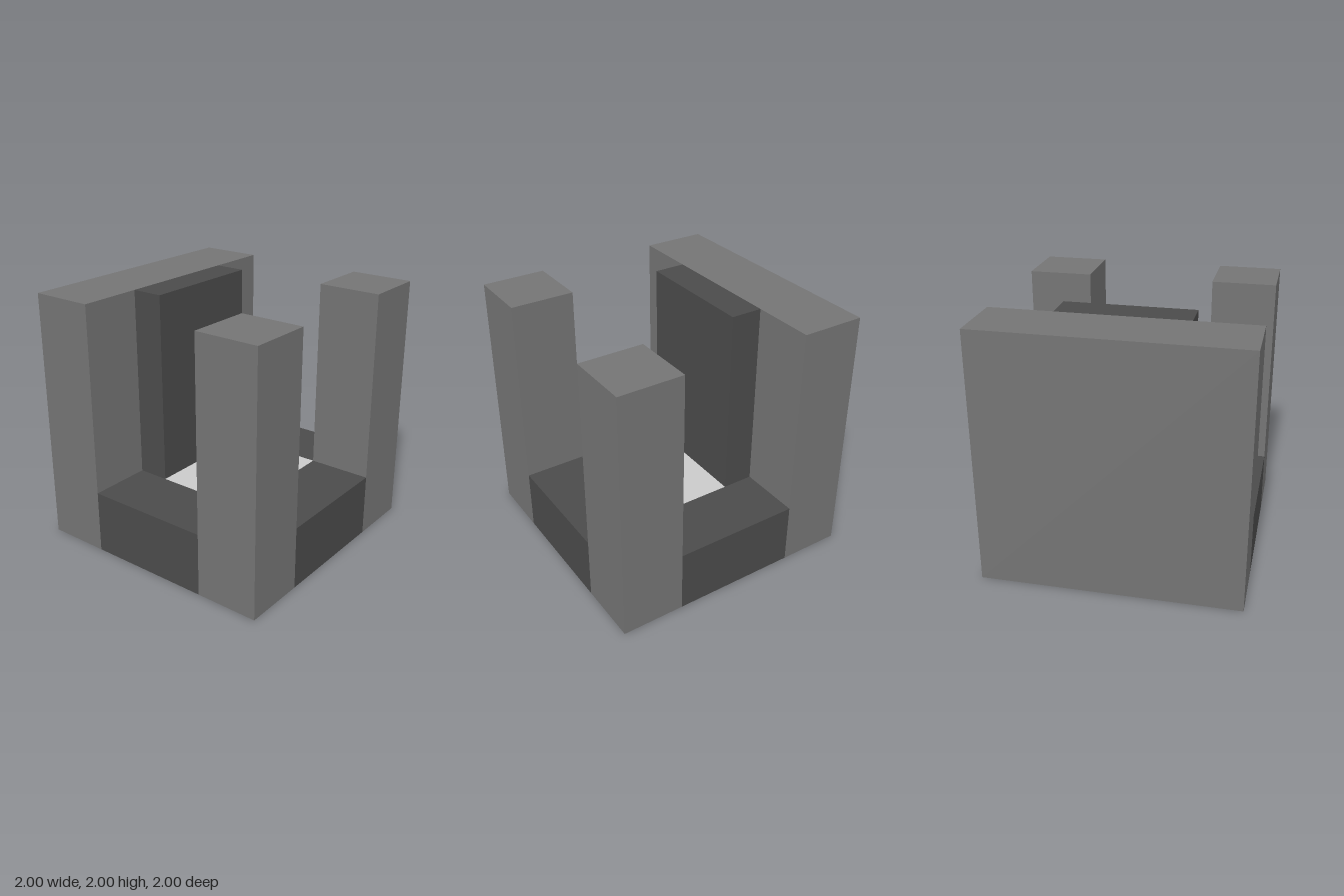
import * as THREE from 'three';

export function createModel() {
  const model = new THREE.Group();
  model.name = 'blockChair';

  const material = (name, color) => {
    const m = new THREE.MeshStandardMaterial({ color });
    m.name = name;
    return m;
  };
  const grey = material('mid grey', 0x747474);
  const dark = material('dark grey', 0x4b4b4b);
  const light = material('light grey', 0xcacaca);

  // Box given by its minimum and maximum corners
  const block = (name, mat, [x0, y0, z0], [x1, y1, z1]) => {
    const mesh = new THREE.Mesh(new THREE.BoxGeometry(x1 - x0, y1 - y0, z1 - z0), mat);
    mesh.position.set((x0 + x1) / 2, (y0 + y1) / 2, (z0 + z1) / 2);
    mesh.name = name;
    model.add(mesh);
  };

  // Tall back wall and the cushion in front of it
  block('backWall', grey, [-1, 0, -1], [1, 2, -0.5]);
  block('backCushion', dark, [-0.5, 0.5, -0.5], [0.5, 2, -0.25]);

  // Seat with its front rail
  block('seat', light, [-0.5, 0, -0.5], [0.5, 0.5, 0.5]);
  block('frontRail', dark, [-0.5, 0, 0.5], [0.5, 0.5, 1]);

  // Side rails and front posts, mirrored
  for (const [side, x] of [['right', -1], ['left', 0.5]]) {
    block(side + 'Rail', dark, [x, 0, -0.5], [x + 0.5, 0.5, 0.5]);
    block(side + 'FrontPost', grey, [x, 0, 0.5], [x + 0.5, 2, 1]);
  }

  return model;
}
